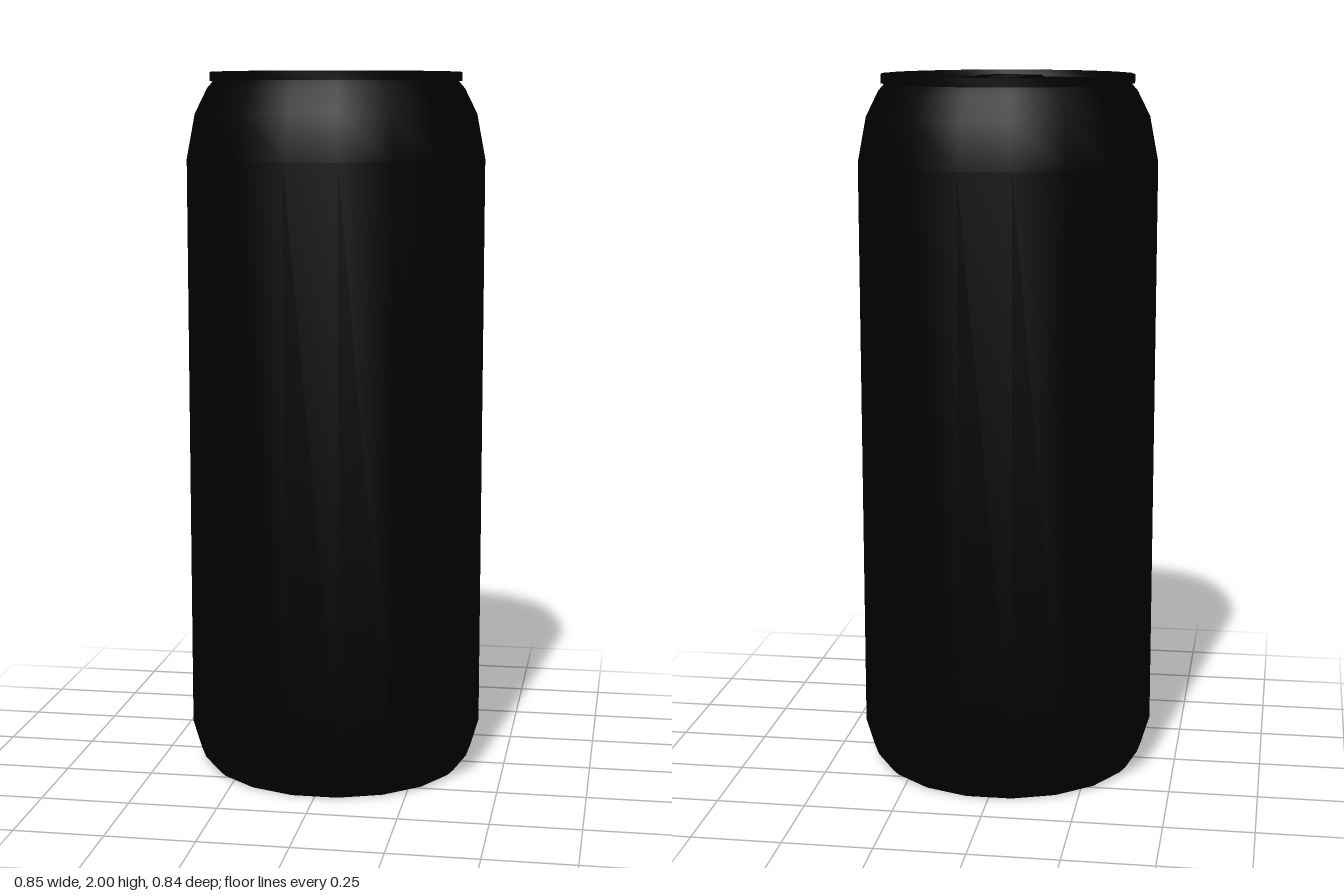
import * as THREE from 'three';
import { toCreasedNormals } from 'three/addons/utils/BufferGeometryUtils.js';

const SIDES = 18;

// Rounded rectangle traced on a Shape or Path
function roundedRect(path, x0, y0, x1, y1, r) {
  path.moveTo(x0 + r, y0);
  path.lineTo(x1 - r, y0);
  path.quadraticCurveTo(x1, y0, x1, y0 + r);
  path.lineTo(x1, y1 - r);
  path.quadraticCurveTo(x1, y1, x1 - r, y1);
  path.lineTo(x0 + r, y1);
  path.quadraticCurveTo(x0, y1, x0, y1 - r);
  path.lineTo(x0, y0 + r);
  path.quadraticCurveTo(x0, y0, x0 + r, y0);
  return path;
}

export function createModel() {
  const group = new THREE.Group();
  group.name = 'drinkCan';
  const material = new THREE.MeshStandardMaterial({ color: 0x000000 });

  const add = (name, geometry) => {
    const mesh = new THREE.Mesh(geometry, material);
    mesh.name = name;
    group.add(mesh);
    return mesh;
  };
  // Turned part with a corner on the x axis
  const turned = (name, profile) => {
    const points = profile.map(([r, y]) => new THREE.Vector2(r, y));
    const geometry = new THREE.LatheGeometry(points, SIDES, Math.PI / 2);
    return add(name, toCreasedNormals(geometry, 0.75));
  };

  // Base with a shallow dome, straight wall and tapered shoulder
  turned('body', [
    [0, 0.035], [0.18, 0.028], [0.3, 0.012], [0.345, 0.002], [0.37, 0],
    [0.388, 0.018], [0.4, 0.05], [0.424, 0.13], [0.424, 1.76],
    [0.4, 1.885], [0.365, 1.955], [0.35, 1.972], [0.345, 1.98],
  ]);

  // Rolled rim and recessed lid
  turned('rim', [[0.344, 1.975], [0.357, 1.975], [0.357, 2], [0.343, 2], [0.338, 1.981]]);
  turned('lid', [[0.34, 1.981], [0, 1.981]]);

  // Pull tab with a finger hole and a rivet slot
  const tab = roundedRect(new THREE.Shape(), -0.09, -0.15, 0.09, 0.155, 0.07);
  tab.holes.push(
    roundedRect(new THREE.Path(), -0.055, -0.115, 0.055, 0.025, 0.045),
    roundedRect(new THREE.Path(), -0.05, 0.055, 0.05, 0.105, 0.012),
  );
  const tabGeometry = new THREE.ExtrudeGeometry(tab, { depth: 0.01, bevelEnabled: false, curveSegments: 5 });
  tabGeometry.rotateX(-Math.PI / 2);
  add('pullTab', tabGeometry).position.y = 1.983;

  // Rivet plate joining the tab to the lid
  const rivet = add('rivetPlate', new THREE.BoxGeometry(0.075, 0.006, 0.02));
  rivet.position.set(0, 1.993, -0.037);

  return group;
}
